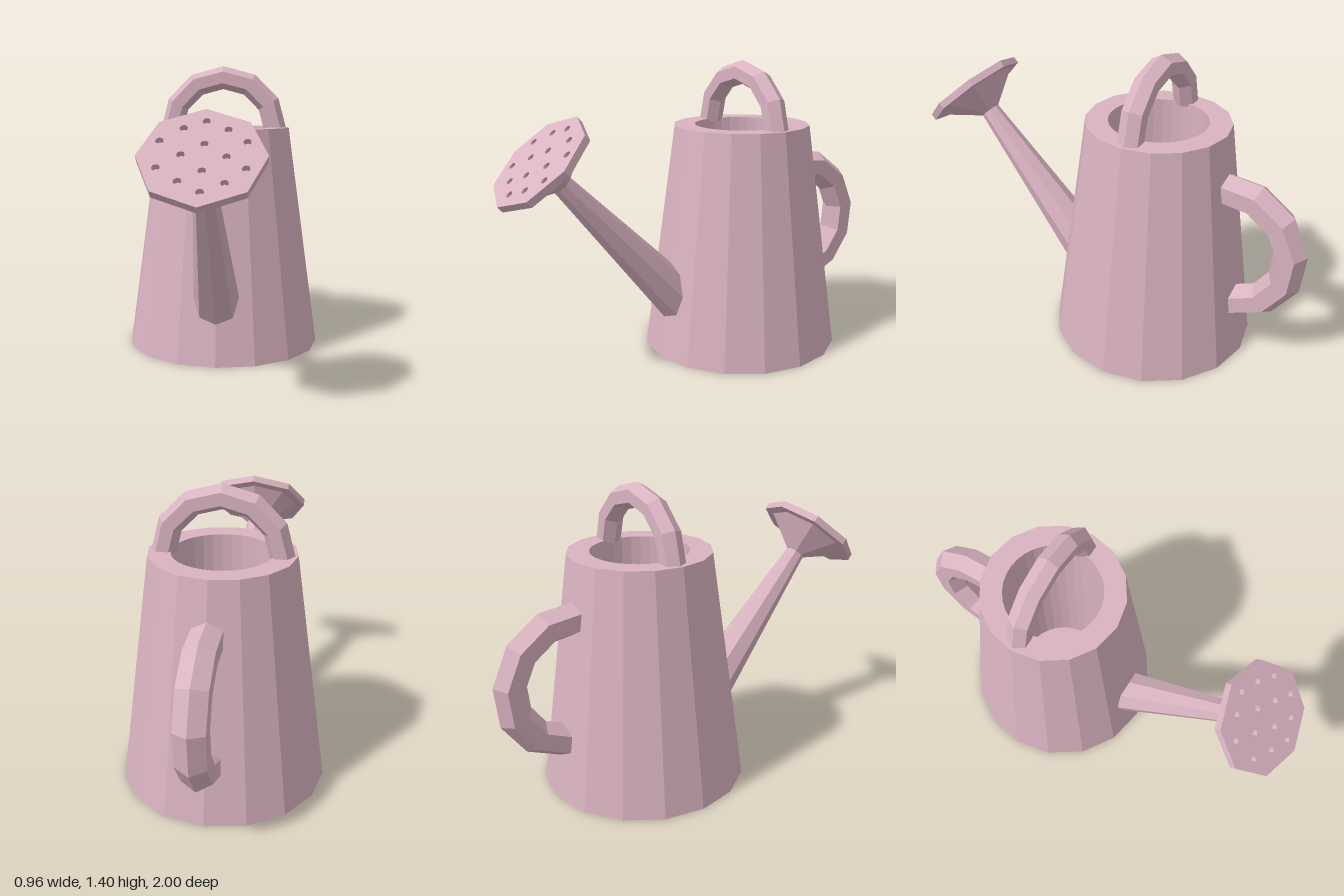
import * as THREE from 'three';

const BODY_Z = -0.255;
const material = new THREE.MeshStandardMaterial({ color: 0xd9b3c1, flatShading: true });

function part(name, geometry, parent) {
  const mesh = new THREE.Mesh(geometry, material);
  mesh.name = name;
  parent.add(mesh);
  return mesh;
}

function lathe(points, sides) {
  return new THREE.LatheGeometry(points.map(([r, y]) => new THREE.Vector2(r, y)), sides);
}

function polygon(path, radius, sides, cx = 0, cy = 0) {
  const points = [];
  for (let i = 0; i < sides; i++) {
    const a = (i / sides) * Math.PI * 2;
    points.push(new THREE.Vector2(cx + radius * Math.cos(a), cy + radius * Math.sin(a)));
  }
  return path.setFromPoints(points);
}

// Tapered prism along z, from the back end to the front end
function taper(rFront, rBack, zFront, zBack) {
  return new THREE.CylinderGeometry(rFront, rBack, zFront - zBack, 8)
    .rotateX(Math.PI / 2)
    .translate(0, 0, (zFront + zBack) / 2);
}

// Half-ring of hexagonal section with closed ends, arching towards +y
function archHandle(name, radius, thickness) {
  const group = new THREE.Group();
  group.name = name;
  part(name + 'Arch', new THREE.TorusGeometry(radius, thickness, 6, 6, Math.PI), group);
  for (const side of [-1, 1]) {
    const cap = new THREE.CircleGeometry(thickness, 6).rotateX(Math.PI / 2);
    part(name + 'End', cap.translate(side * radius, 0, 0), group);
  }
  return group;
}

export function createModel() {
  const model = new THREE.Group();
  model.name = 'wateringCan';

  // Tapered body with a flat rim around a round, straight-sided well
  const body = new THREE.Group();
  body.name = 'body';
  body.position.z = BODY_Z;
  model.add(body);
  part('bodyShell', lathe([[0, 0], [0.482, 0], [0.33, 1.1]], 16), body);
  part('innerWell', lathe([[0.226, 1.1], [0.226, 0.1], [0, 0.1]], 32), body);
  const rim = polygon(new THREE.Shape(), 0.33, 16);
  rim.holes.push(polygon(new THREE.Path(), 0.226, 32));
  part('rim', new THREE.ShapeGeometry(rim).rotateX(-Math.PI / 2).translate(0, 1.1, 0), body);

  // Carrying handle over the opening
  const topHandle = archHandle('topHandle', 0.263, 0.057);
  topHandle.position.set(0, 1.085, BODY_Z - 0.005);
  model.add(topHandle);

  // Rear grip, leaning with the slope of the body
  const backHandle = archHandle('backHandle', 0.289, 0.078);
  backHandle.rotation.set(THREE.MathUtils.degToRad(9), -Math.PI / 2, Math.PI / 2);
  backHandle.position.set(0, 0.566, -0.638);
  model.add(backHandle);

  // Spout assembly: local +z runs along the spout, origin at the rose face
  const spout = new THREE.Group();
  spout.name = 'spoutAssembly';
  spout.position.set(0, 1.032, 0.81);
  spout.rotation.x = -0.83;
  model.add(spout);
  part('spout', taper(0.047, 0.12, -0.15, -1.14), spout);
  part('roseCone', taper(0.208, 0.047, -0.033, -0.152), spout);
  part('roseBacking', taper(0.254, 0.254, -0.026, -0.034), spout);

  // Perforated rose plate: columns of sprinkle holes
  const columns = [
    [-0.168, [0.077, -0.063]],
    [-0.08, [0.146, 0.005, -0.13]],
    [0.007, [0.185, 0.061, -0.077, -0.182]],
    [0.095, [0.138, -0.005, -0.138]],
    [0.171, [0.072, -0.066]],
  ];
  const plate = polygon(new THREE.Shape(), 0.254, 8);
  for (const [x, heights] of columns) {
    for (const y of heights) plate.holes.push(polygon(new THREE.Path(), 0.017, 8, x, y));
  }
  const plateGeometry = new THREE.ExtrudeGeometry(plate, { depth: 0.026, bevelEnabled: false });
  part('rosePlate', plateGeometry.translate(0, 0, -0.026), spout);

  return model;
}
